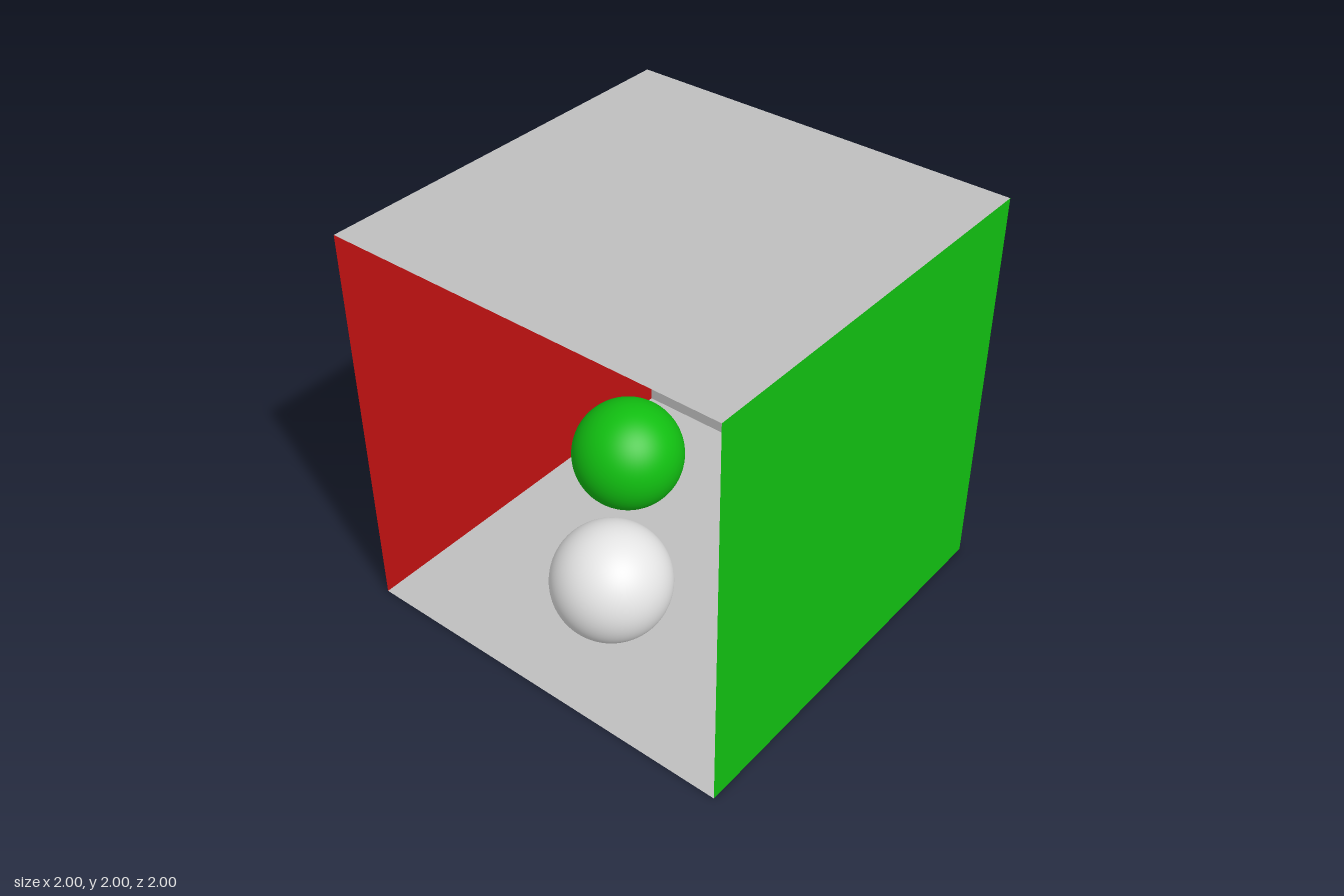
import * as THREE from 'three';

const material = (name, color, side = THREE.FrontSide) => {
  const m = new THREE.MeshStandardMaterial({ color, side });
  m.name = name;
  return m;
};

export function createModel() {
  const model = new THREE.Group();
  model.name = 'openRoomWithBalls';

  const wallGray = material('wallGray', 0xbfbfbf, THREE.DoubleSide);
  const wallRed = material('wallRed', 0xbf1111, THREE.DoubleSide);
  const wallGreen = material('wallGreen', 0x11bf11, THREE.DoubleSide);
  const ballWhite = material('ballWhite', 0xe5e5e5);
  const ballYellow = material('ballYellow', 0xbfbf0d);

  // Room: five sheet walls, open at the front
  const sheet = new THREE.PlaneGeometry(2, 2);
  const addWall = (name, mat, position, rx, ry) => {
    const wall = new THREE.Mesh(sheet, mat);
    wall.name = name;
    wall.position.set(...position);
    wall.rotation.set(rx, ry, 0);
    model.add(wall);
  };
  const q = Math.PI / 2;
  addWall('floor', wallGray, [0, 0, 0], -q, 0);
  addWall('ceiling', wallGray, [0, 2, 0], q, 0);
  addWall('backWall', wallGray, [0, 1, -1], 0, 0);
  addWall('leftWall', wallGreen, [1, 1, 0], 0, -q);
  addWall('rightWall', wallRed, [-1, 1, 0], 0, q);

  // Balls: three resting on the floor, two floating against the back wall
  const radius = 0.29;
  const sphere = new THREE.SphereGeometry(radius, 64, 48);
  const addBall = (name, mat, x, y, z) => {
    const ball = new THREE.Mesh(sphere, mat);
    ball.name = name;
    ball.position.set(x, y, z);
    model.add(ball);
  };
  addBall('greenBall', wallGreen, -0.545, radius, -0.27);
  addBall('redBall', wallRed, 0.545, radius, -0.27);
  addBall('frontWhiteBall', ballWhite, 0, radius, 0.49);
  addBall('yellowBall', ballYellow, -0.29, 1, -0.71);
  addBall('backWhiteBall', ballWhite, 0.29, 1, -0.71);

  return model;
}
